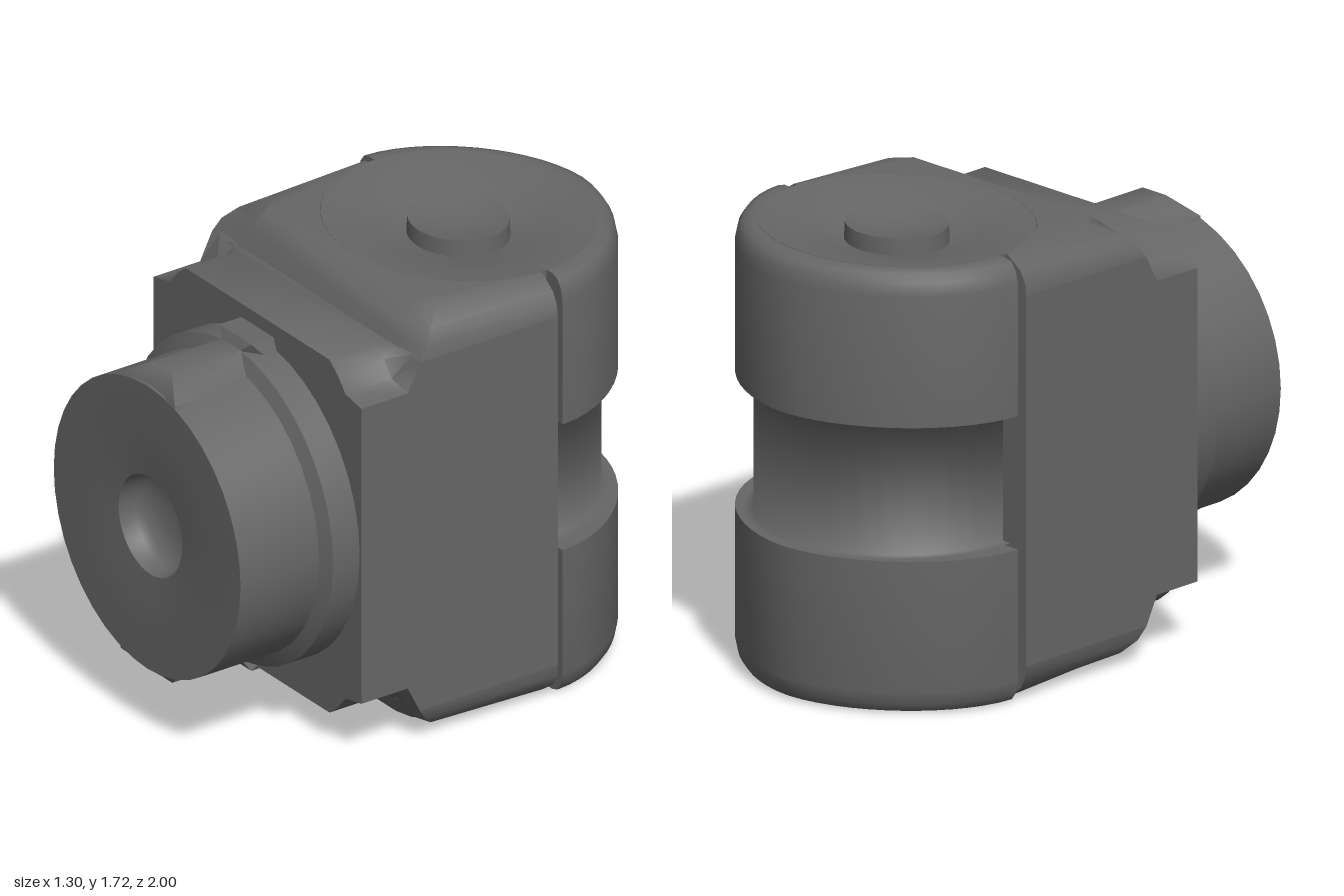
import * as THREE from 'three';
import { toCreasedNormals } from 'three/addons/utils/BufferGeometryUtils.js';

const V = (list) => list.map(([x, y]) => new THREE.Vector2(x, y));

// Skin between outlines at successive z, each given as one mirrored quadrant
function loft(rows) {
  const pos = [], index = [];
  for (const [z, q] of rows) {
    const r = [...q].reverse();
    const ring = [...q, ...r.map(([x, y]) => [-x, y]), ...q.map(([x, y]) => [-x, -y]), ...r.map(([x, y]) => [x, -y])];
    for (const [x, y] of ring) pos.push(x, y, z);
  }
  const n = rows[0][1].length * 4, last = (rows.length - 1) * n;
  const back = rows.length * n, front = back + 1;
  pos.push(0, 0, rows[0][0], 0, 0, rows[rows.length - 1][0]);
  for (let j = 0; j < n; j++) {
    const k = (j + 1) % n;
    for (let o = 0; o < last; o += n) index.push(o + j, o + k, o + n + k, o + j, o + n + k, o + n + j);
    index.push(back, k, j, front, last + j, last + k);
  }
  const g = new THREE.BufferGeometry();
  g.setAttribute('position', new THREE.Float32BufferAttribute(pos, 3));
  g.setIndex(index);
  return g;
}

export function createModel() {
  const root = new THREE.Group();
  root.name = 'pivotJoint';
  const body = new THREE.Group();
  body.name = 'jointBody';
  body.position.y = 0.86;
  root.add(body);

  const grey = new THREE.MeshStandardMaterial({ color: 0x666666, side: THREE.DoubleSide });
  grey.name = 'dark grey';
  const add = (parent, name, geometry, crease = 0.8) => {
    const mesh = new THREE.Mesh(toCreasedNormals(geometry, crease), grey);
    mesh.name = name;
    parent.add(mesh);
    return mesh;
  };

  // Central block, with stepped corners at the front
  const full = [[0.65, 0.72], [0.6, 0.735], [0.5, 0.735], [0.45, 0.735]];
  const stepped = [[0.65, 0.61], [0.55, 0.63], [0.5, 0.69], [0.45, 0.73]];
  add(body, 'block', loft([[-0.39, full], [0.235, full], [0.29, stepped], [0.5, stepped]]), 1.1);

  // Front hub with a round socket in its face
  const hub = new THREE.LatheGeometry(V([
    [0.64, 0.45], [0.64, 0.62], [0.585, 0.645], [0.585, 1], [0.5, 1], [0.4, 0.998],
    [0.3, 0.994], [0.2, 0.985], [0.19, 0.92], [0.17, 0.89], [0.1, 0.865], [0, 0.855],
  ]), 40);
  hub.rotateX(Math.PI / 2);
  add(body, 'hub', hub);

  // Cap plate with an arched notch; its upper edges slope inward, more at the front corners
  const outline = new THREE.Shape(V([
    [-0.65, 0.39], [-0.65, -0.25], [-0.45, -0.25], [0.45, -0.25], [0.65, -0.25], [0.65, 0.39], [0.54, 0.39],
  ]));
  outline.absellipse(0, 0.41, 0.54, 0.49, -0.04, -Math.PI + 0.04, true);
  const cap = new THREE.ExtrudeGeometry(outline, { depth: 0.14, steps: 3, bevelEnabled: false, curveSegments: 24 });
  cap.rotateX(-Math.PI / 2);
  const p = cap.attributes.position;
  const sideX = [0.65, 0.645, 0.62, 0.555], frontZ = [0.25, 0.225, 0.2, 0.13];
  const cornerX = [0.65, 0.64, 0.6, 0.51], cornerZ = [0.235, 0.2, 0.15, 0.06];
  for (let i = 0; i < p.count; i++) {
    const level = Math.round(p.getY(i) / 0.14 * 3), x = p.getX(i);
    const side = Math.abs(x) > 0.6, front = p.getZ(i) > 0.2;
    if (side) p.setX(i, Math.sign(x) * (front ? cornerX : sideX)[level]);
    if (front) p.setZ(i, (side ? cornerZ : frontZ)[level]);
  }
  cap.translate(0, 0.72, 0);

  // Drum: dished core with a raised boss, and a half shell around the back
  const core = new THREE.LatheGeometry(V([
    [0.49, 0.26], [0.49, 0.86], [0.4, 0.848], [0.3, 0.825], [0.185, 0.79],
    [0.182, 0.855], [0.1, 0.835], [0, 0.825],
  ]), 40);
  const rim = V([[0.48, 0.26], [0.58, 0.26], [0.58, 0.77], [0.57, 0.82], [0.55, 0.85], [0.52, 0.86], [0.47, 0.858]]);
  const end = new THREE.ShapeGeometry(new THREE.Shape(rim));
  const shell = new THREE.LatheGeometry(rim, 28, Math.PI / 2, Math.PI);
  // The outer wall is drawn in slightly on the diagonals
  const sp = shell.attributes.position;
  for (let i = 0; i < sp.count; i++) {
    const x = sp.getX(i), z = sp.getZ(i), r = Math.hypot(x, z);
    if (r < 0.5) continue;
    const k = (Math.abs(x / r) ** 1.8 + Math.abs(z / r) ** 1.8) ** (-1 / 1.8);
    sp.setX(i, x * k);
    sp.setZ(i, z * k);
  }

  // Lug along the hub, with a taller tab against the block
  const lug = new THREE.ExtrudeGeometry(new THREE.Shape(V([
    [-0.45, 0.5], [-0.45, 0.675], [-0.6, 0.675], [-0.62, 0.64], [-0.93, 0.64], [-0.998, 0.57], [-0.998, 0.5],
  ])), { depth: 0.28, bevelEnabled: false });
  lug.translate(0, 0, -0.14);
  lug.rotateY(Math.PI / 2);
  const lp = lug.attributes.position;
  for (let i = 0; i < lp.count; i++) {
    const y = lp.getY(i);
    lp.setX(i, Math.sign(lp.getX(i)) * (y > 0.65 ? 0.1 : y > 0.6 ? 0.06 : 0.17));
  }

  // Upper and lower halves match, turned about the front axis
  for (const [side, turn] of [['upper', 0], ['lower', Math.PI]]) {
    const half = new THREE.Group();
    half.name = side + 'Half';
    half.rotation.z = turn;
    body.add(half);
    add(half, side + 'Cap', cap);
    add(half, side + 'Lug', lug);
    const drum = new THREE.Group();
    drum.name = side + 'Drum';
    drum.position.z = -0.41;
    drum.scale.x = 1.1;
    half.add(drum);
    add(drum, side + 'DrumCore', core);
    add(drum, side + 'DrumShell', shell).position.z = -0.01;
    for (const turnY of [0, Math.PI]) {
      const plate = add(drum, side + 'DrumShellEnd', end);
      plate.position.z = -0.01;
      plate.rotation.y = turnY;
    }
  }

  // Neck between the drums, shaded softly into their flanges
  const neck = new THREE.LatheGeometry(V([[0.57, -0.259], [0.53, -0.259], [0.53, 0.259], [0.57, 0.259]]), 40);
  neck.translate(0, 0, -0.405);
  add(body, 'neck', neck, 2);
  return root;
}
